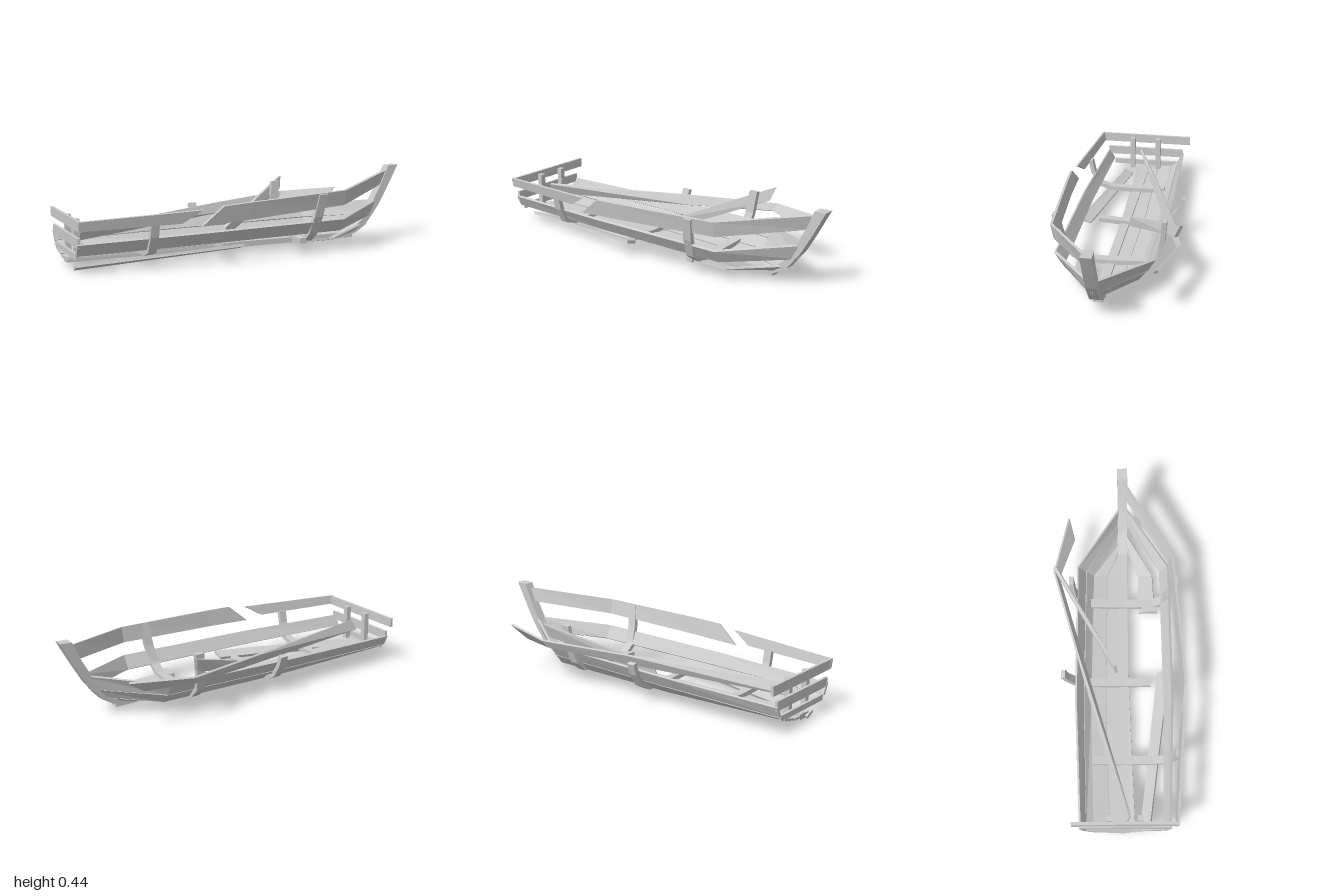
import * as THREE from 'three';

const V = (p) => new THREE.Vector3(...p);
const mid = 0.03; // z of the keel line
const mirror = (pts) => pts.map(([x, y, z]) => [x, y, 2 * mid - z]);

// A thick board stretched between two edge polylines
function strip(edgeA, edgeB, thick) {
  const a = edgeA.map(V), b = edgeB.map(V), n = a.length, pos = [];
  const rings = a.map((p, i) => {
    const j = Math.max(i - 1, 0), k = Math.min(i + 1, n - 1);
    const along = a[k].clone().add(b[k]).sub(a[j]).sub(b[j]);
    const off = b[i].clone().sub(p).cross(along).normalize().multiplyScalar(thick / 2);
    return [p.clone().add(off), b[i].clone().add(off), b[i].clone().sub(off), p.clone().sub(off)];
  });
  const quad = (p, q, r, s) => [p, q, r, p, r, s].forEach((v) => pos.push(v.x, v.y, v.z));
  for (let i = 0; i < n - 1; i++) {
    for (let k = 0; k < 4; k++) {
      const m = (k + 1) % 4;
      quad(rings[i][k], rings[i][m], rings[i + 1][m], rings[i + 1][k]);
    }
  }
  quad(...rings[0].slice().reverse());
  quad(...rings[n - 1]);
  const g = new THREE.BufferGeometry();
  g.setAttribute('position', new THREE.Float32BufferAttribute(pos, 3));
  g.computeVertexNormals();
  return g;
}

export function createModel() {
  const boat = new THREE.Group();
  boat.name = 'wreckedBoat';
  const wood = new THREE.MeshStandardMaterial({ color: 0xcccccc, flatShading: true });
  const add = (name, geometry) => {
    const mesh = new THREE.Mesh(geometry, wood);
    mesh.name = name;
    boat.add(mesh);
    return mesh;
  };
  const box = (name, size, at) => add(name, new THREE.BoxGeometry(...size)).position.set(...at);

  // Keel and curved stem
  box('keel', [1.7, 0.03, 0.05], [-0.15, 0.05, mid]);
  const stem = new THREE.Shape([
    [0.64, 0.036], [0.72, 0.06], [0.785, 0.1], [0.87, 0.21], [0.93, 0.315], [1, 0.445],
    [0.935, 0.442], [0.89, 0.34], [0.83, 0.23], [0.76, 0.13], [0.7, 0.085], [0.64, 0.065],
  ].map((p) => new THREE.Vector2(...p)));
  add('stem', new THREE.ExtrudeGeometry(stem, { depth: 0.057, bevelEnabled: false }));

  // Strake edges from keel to sheer on the whole side, stern to stem
  const edges = [
    [[-1, 0.05, mid], [-0.3, 0.045, mid], [0.5, 0.045, mid], [0.7, 0.06, mid]],
    [[-1, 0.055, -0.05], [-0.3, 0.05, -0.07], [0.5, 0.05, -0.06], [0.74, 0.075, mid]],
    [[-1, 0.08, -0.14], [-0.3, 0.07, -0.155], [0.5, 0.07, -0.14], [0.79, 0.11, mid]],
    [[-1, 0.105, -0.18], [-0.3, 0.115, -0.195], [0.5, 0.125, -0.185], [0.835, 0.16, mid]],
    [[-1, 0.165, -0.21], [-0.3, 0.18, -0.235], [0.5, 0.195, -0.23], [0.88, 0.245, mid]],
  ];
  for (let k = 0; k < 4; k++) {
    const lower = edges[k].map(([x, y, z], i) => (k && i < 3 ? [x, y + 0.004, z - 0.004] : [x, y, z]));
    add('strake', strip(lower, edges[k + 1], 0.012));
  }

  // Surviving planks on the broken side
  add('sideStrake', strip(mirror(edges[3]), mirror(edges[4]), 0.014));
  const bow = (k, z, y) => [[0.27, y, z], ...mirror(edges[k].slice(2))];
  add('bowBilgePlank', strip(bow(1, 0.12, 0.05), bow(2, 0.21, 0.07), 0.012));
  add('keelSplinter', strip(
    [[-1, 0.052, mid], [-0.1, 0.05, mid]], [[-1, 0.06, 0.085], [-0.1, 0.052, 0.055]], 0.01));

  // Upper planks, split with slanted broken ends
  add('upperPlankAft', strip(
    [[-1, 0.235, 0.295], [-0.47, 0.245, 0.332]],
    [[-1, 0.285, 0.305], [-0.36, 0.31, 0.352]], 0.012));
  add('upperPlankFore', strip(
    [[-0.37, 0.225, 0.35], [-0.1, 0.24, 0.338], [0.5, 0.272, 0.288], [0.9, 0.335, mid]],
    [[-0.25, 0.325, 0.362], [-0.1, 0.332, 0.354], [0.5, 0.355, 0.306], [0.94, 0.417, mid]], 0.014));

  // Transom boards and posts
  box('transomTopBoard', [0.015, 0.052, 0.555], [-0.99, 0.258, 0.025]);
  box('transomMiddleBoard', [0.015, 0.05, 0.48], [-0.99, 0.17, mid]);
  box('transomLowerBoard', [0.015, 0.03, 0.4], [-0.99, 0.095, mid]);
  for (const z of [0.11, -0.053]) box('transomPost', [0.03, 0.2, 0.03], [-0.96, 0.17, z]);

  // Ribs follow the section as [z, y], with an optional lean of the tips along x
  const rib = (x, width, path, lean = 0) => {
    const side = (s) => path.map(([z, y]) => [x + s * width / 2 + lean * Math.max(0, y - 0.1), y, z]);
    add('rib', strip(side(-1), side(1), 0.025));
  };
  rib(-0.61, 0.045, [[-0.14, 0.082], [0.03, 0.072], [0.19, 0.078], [0.26, 0.1], [0.3, 0.18], [0.315, 0.25]]);
  rib(-0.16, 0.045, [[-0.305, 0.24], [-0.285, 0.18], [-0.24, 0.11], [-0.18, 0.078], [0.03, 0.068], [0.18, 0.078]]);
  rib(0.32, 0.05, [[-0.26, 0.345], [-0.25, 0.22], [-0.22, 0.13], [-0.17, 0.083], [0.03, 0.07],
    [0.2, 0.078], [0.255, 0.12], [0.295, 0.22], [0.322, 0.345]], 0.13);
  box('ribStub', [0.04, 0.03, 0.09], [0.285, 0.075, 0.18]);

  // Loose planks: sprung side plank, raised plank, fallen plank
  add('sprungPlank', strip(
    [[-0.97, 0.14, 0.035], [-0.05, 0.19, -0.2], [0.42, 0.225, -0.335], [0.67, 0.21, -0.25]],
    [[-0.94, 0.2, 0.055], [-0.05, 0.245, -0.225], [0.44, 0.265, -0.36], [0.77, 0.28, -0.28]], 0.012));
  add('raisedPlank', strip(
    [[-0.1, 0.075, -0.01], [0.41, 0.285, -0.325]],
    [[-0.08, 0.14, -0.02], [0.43, 0.36, -0.355]], 0.018));
  add('fallenPlank', strip(
    [[-0.98, 0.012, 0.115], [-0.1, 0.075, 0.22]],
    [[-0.98, 0.035, 0.165], [-0.42, 0.07, 0.235], [-0.1, 0.095, 0.285]].filter((_, i) => i !== 1), 0.016));
  return boat;
}
